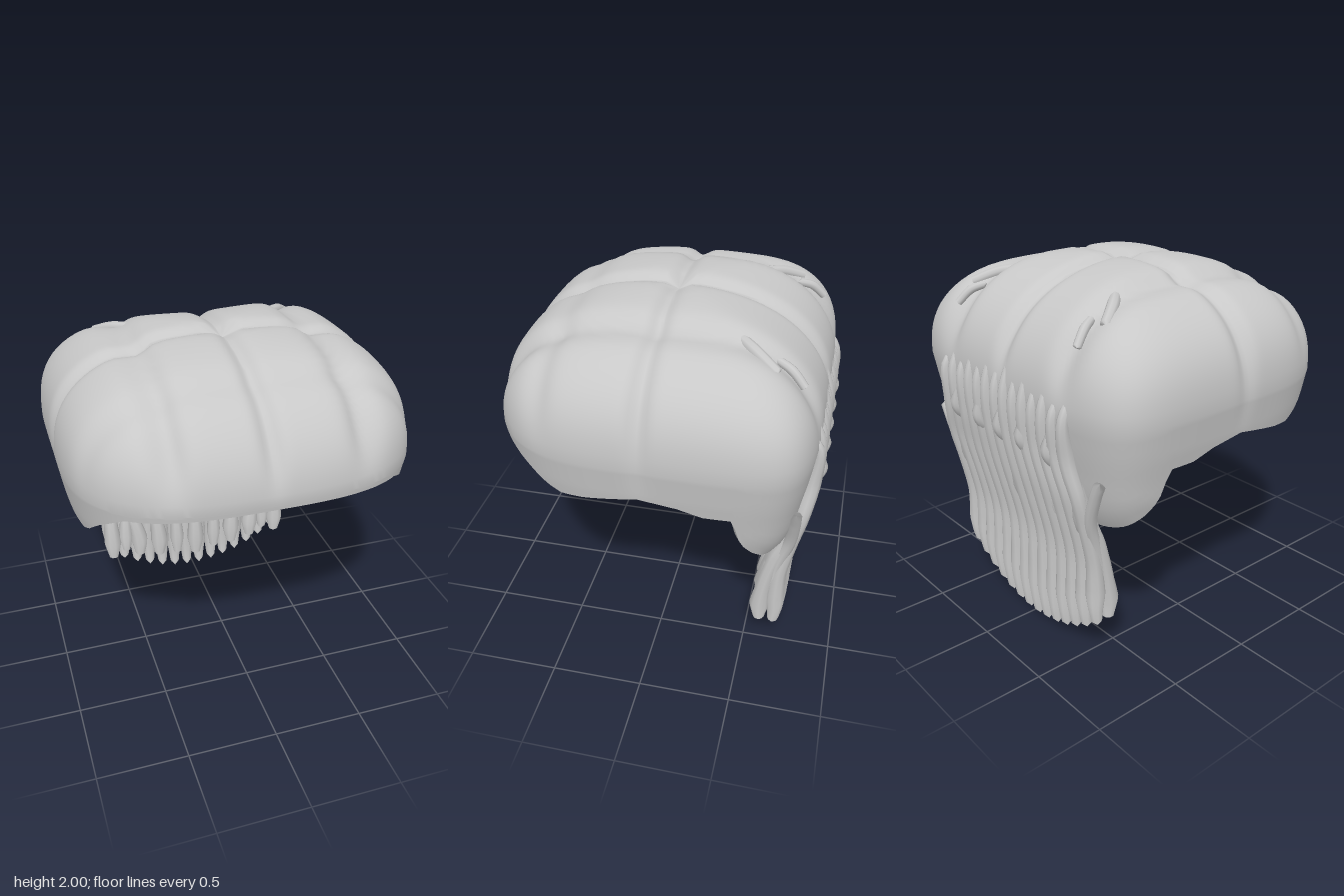
import * as THREE from 'three';
import { toCreasedNormals } from 'three/addons/utils/BufferGeometryUtils.js';

const EQUATOR = 1.42;

// piecewise linear lookup over [x, y] pairs with rising x
function lookup(table, x) {
  if (x <= table[0][0]) return table[0][1];
  for (let i = 1; i < table.length; i++) {
    const [x0, y0] = table[i - 1], [x1, y1] = table[i];
    if (x <= x1) return y0 + (y1 - y0) * (x - x0) / (x1 - x0);
  }
  return table[table.length - 1][1];
}

// height of the cut edge, by depth
const RIM = [[-0.83, 0.825], [-0.78, 0.83], [-0.72, 0.85], [-0.62, 0.92], [-0.545, 1.0], [-0.485, 1.17],
  [-0.33, 1.17], [-0.2, 1.21], [0, 1.24], [0.3, 1.19], [0.43, 1.18], [0.5, 1.21], [0.6, 1.29], [0.73, 1.38], [0.87, 1.39]];
// inward taper of the wall, by height
const TAPER = [[0.82, 0.83], [0.88, 0.87], [1.0, 0.915], [1.1, 0.935], [1.25, 0.97], [EQUATOR, 1]];
// swelling along a strand
const SWELL = [[0, 0], [0.04, 0.45], [0.25, 0.95], [0.55, 0.85], [0.72, 0.9], [0.86, 1.18], [0.93, 0.85], [0.985, 0.6], [1, 0]];

const bell = (x, w) => Math.exp(-(x * x) / (w * w));

// rounded-square plan, squarer at the back
function planRadius(phi) {
  const c = Math.abs(Math.cos(phi)), s = Math.sin(phi);
  const n = s > 0 ? 3.1 : 6, b = s > 0 ? 0.87 : 0.83;
  return Math.pow(Math.pow(c / 0.94, n) + Math.pow(Math.abs(s) / b, n), -1 / n);
}

// soft grooves dividing the crown into lobes
function addGrooves(p) {
  const w = THREE.MathUtils.smoothstep(p.y, 1.4, 1.75);
  const side = THREE.MathUtils.smoothstep(p.y, 1.2, 1.5);
  const d = w * (0.045 * bell(p.x, 0.05) + 0.05 * bell(Math.abs(p.x) - 0.5, 0.08) + 0.02 * bell(p.z - 0.52, 0.07))
    + (0.025 * w + 0.015 * side) * bell(p.z, 0.05);
  p.x *= 1 - d;
  p.z *= 1 - d;
  p.y -= d * (p.y - 1.2);
  return p;
}

// one section from crown to cut edge; the lining is slightly smaller
function section(phi, inner) {
  const DOME = 24, WALL = 9, points = [];
  const R = planRadius(phi), c = Math.cos(phi), s = Math.sin(phi);
  const n = 2.2 + 0.45 * c * c, scale = inner ? 0.945 : 1, height = inner ? 0.54 : 0.59;
  for (let i = 0; i <= DOME; i++) {
    const a = i / DOME * Math.PI / 2;
    const r = R * scale * Math.pow(Math.sin(a), 2 / n);
    const y = EQUATOR + height * Math.pow(Math.max(0, Math.cos(a)), 2 / n);
    points.push(addGrooves(new THREE.Vector3(r * c, y, r * s)));
  }
  const rim = lookup(RIM, R * s);
  for (let i = 1; i <= WALL; i++) {
    const y = EQUATOR + (rim - EQUATOR) * i / WALL;
    const r = R * scale * lookup(TAPER, y);
    points.push(addGrooves(new THREE.Vector3(r * c, y, r * s)));
  }
  return points;
}

// thick shell: outside, cut edge and lining
function shellGeometry() {
  const AROUND = 240, positions = [], index = [];
  let rows = 0;
  for (let j = 0; j < AROUND; j++) {
    const phi = j / AROUND * Math.PI * 2;
    const loop = [...section(phi, false), ...section(phi, true).reverse()];
    rows = loop.length;
    loop.forEach(p => positions.push(p.x, p.y, p.z));
  }
  for (let j = 0; j < AROUND; j++) {
    const k = (j + 1) % AROUND;
    for (let i = 0; i < rows - 1; i++) {
      const a = j * rows + i, b = a + 1, c = k * rows + i, d = c + 1;
      if (i > 0) index.push(a, c, b);
      if (i < rows - 2) index.push(c, d, b);
    }
  }
  const g = new THREE.BufferGeometry();
  g.setAttribute('position', new THREE.Float32BufferAttribute(positions, 3));
  g.setIndex(index);
  return toCreasedNormals(g, 0.9);
}

// tube along a smooth path, with its rings scaled by the swell table
function strandGeometry(path, radius, swell = SWELL) {
  const LONG = 40, SIDES = 9;
  const curve = new THREE.CatmullRomCurve3(path.map(p => new THREE.Vector3(...p)));
  const g = new THREE.TubeGeometry(curve, LONG, radius, SIDES, false);
  const pos = g.attributes.position, v = new THREE.Vector3();
  for (let i = 0; i <= LONG; i++) {
    const centre = curve.getPointAt(i / LONG), k = lookup(swell, i / LONG);
    for (let j = 0; j <= SIDES; j++) {
      const n = i * (SIDES + 1) + j;
      v.fromBufferAttribute(pos, n).sub(centre).multiplyScalar(k).add(centre);
      pos.setXYZ(n, v.x, v.y, v.z);
    }
  }
  return g;
}

export function createModel() {
  const model = new THREE.Group();
  const grey = new THREE.MeshStandardMaterial({ color: 0xc8c8c8 });
  grey.name = 'light grey';
  const add = (name, geometry) => {
    const mesh = new THREE.Mesh(geometry, grey);
    mesh.name = name;
    model.add(mesh);
    return mesh;
  };

  add('hairCap', shellGeometry());

  // outer row of long strands running down the back
  for (let i = 0; i < 14; i++) {
    const x = (i - 6.5) * 0.088, q = (x / 0.572) ** 2, tip = 0.005 + 0.205 * q;
    const w = x * 0.94, top = 1.68 - 0.12 * q - 0.06 * (i % 2);
    add('outerStrand', strandGeometry([
      [w, top, -0.725], [w, 1.42, -0.822], [w, 1.2, -0.81], [x, 1.0, -0.775], [x, 0.83, -0.735],
      [x, 0.6, -0.685], [x, 0.4 + 0.05 * q, -0.675], [x, tip + 0.1, -0.675], [x, tip, -0.665]], 0.046));
  }

  // inner row: [x at the top, x at the bottom, tip height]
  const inner = [[0, 0, 0.14], [0.15, 0.13, 0.17], [0.32, 0.255, 0.18], [0.53, 0.39, 0.21], [0.45, 0.48, 0.26], [0.575, 0.57, 0.22]];
  for (const [a, b, tip] of inner) {
    for (const s of a === 0 ? [1] : [1, -1]) {
      add('innerStrand', strandGeometry([
        [s * a, 1.1, -0.77], [s * a, 0.85, -0.72], [s * (a * 0.8 + b * 0.2), 0.7, -0.66], [s * (a * 0.25 + b * 0.75), 0.5, -0.61],
        [s * b, 0.33, -0.59], [s * b, tip, -0.59]], b === 0.13 || b === 0.48 ? 0.04 : 0.049));
    }
  }

  // strand roots passing through the back wall
  const PEG = [[0, 0], [0.02, 0.6], [0.15, 1], [0.7, 1], [1, 0]];
  for (const x of [0, 0.2, -0.2, 0.43, -0.43]) {
    add('strandRoot', strandGeometry([[x, 1.13, -0.71], [x, 1.14, -0.78], [x * 0.99, 1.2, -0.835], [x * 0.98, 1.32, -0.84]], 0.035, PEG));
  }

  const BLUNT = [[0, 0], [0.01, 0.9], [0.5, 1], [0.9, 0.9], [1, 0]];
  for (const s of [1, -1]) {
    // loose end standing away from each side of the neck
    add('sideStrand', strandGeometry([[s * 0.72, 1.125, -0.755], [s * 0.675, 1.03, -0.75], [s * 0.61, 0.86, -0.73],
      [s * 0.58, 0.65, -0.67], [s * 0.57, 0.4, -0.64]], 0.034, BLUNT));
    add('sideRoot', new THREE.SphereGeometry(0.022, 12, 8)).position.set(s * 0.67, 1.12, -0.68);
    // stray locks on the rear of the crown
    add('strayLock', strandGeometry([[s * 0.58, 1.83, -0.6], [s * 0.49, 1.885, -0.48], [s * 0.37, 1.91, -0.36]], 0.032, BLUNT));
    add('strayLock', strandGeometry([[s * 0.53, 1.74, -0.73], [s * 0.5, 1.81, -0.66], [s * 0.46, 1.84, -0.58]], 0.024, BLUNT));
    // short point hanging inside the cap
    const point = add('innerPoint', new THREE.ConeGeometry(0.04, 0.16, 10));
    point.position.set(s * 0.6, 1.365, -0.73);
    point.rotation.x = Math.PI;
  }
  return model;
}
